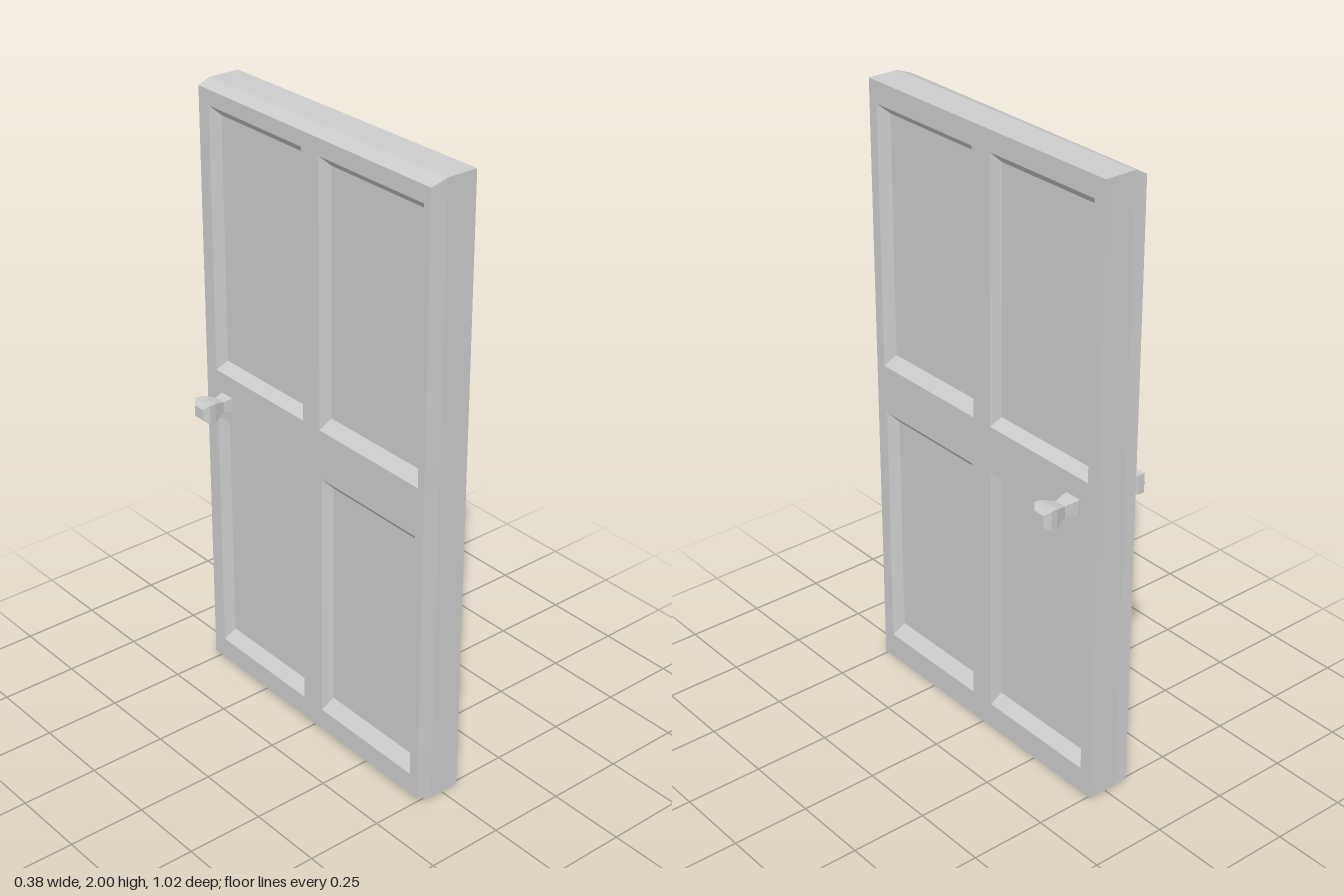
import * as THREE from 'three';

const material = new THREE.MeshStandardMaterial({ color: 0xcccccc, flatShading: true });

// Panels as [outer, inner] rectangles: z0, z1, y0, y1
const panels = [
  [[0.04, 0.476, 1.08, 1.93], [0.053, 0.458, 1.113, 1.897]],
  [[-0.466, -0.037, 1.08, 1.934], [-0.452, -0.048, 1.105, 1.9]],
  [[0.048, 0.468, 0.087, 0.92], [0.063, 0.452, 0.125, 0.882]],
  [[-0.463, -0.04, 0.087, 0.922], [-0.45, -0.048, 0.12, 0.893]],
];
const depth = 0.035;

// Rectangle loop in the zy plane; xAt gives x for each z
function ring([z0, z1, y0, y1], xAt) {
  return [[z0, y0], [z1, y0], [z1, y1], [z0, y1]].map(([z, y]) => new THREE.Vector3(xAt(z), y, z));
}

function buildSlab() {
  const positions = [];
  const tri = (a, b, c, flip) => {
    for (const p of flip ? [a, c, b] : [a, b, c]) positions.push(p.x, p.y, p.z);
  };
  const quad = (a, b, c, d, flip) => { tri(a, b, c, flip); tri(a, c, d, flip); };
  const loft = (a, b, flip) => a.forEach((p, i) => {
    const j = (i + 1) % a.length;
    quad(p, a[j], b[j], b[i], flip);
  });
  const flat = (loop) => loop.map((p) => new THREE.Vector2(p.z, p.y));

  // One broad side: frame with four openings, sloped mouldings, sunken panels
  const panelledFace = (rect, xAt, inward, flip) => {
    const outline = ring(rect, xAt);
    const holes = panels.map(([outer]) => ring(outer, xAt));
    const points = [outline, ...holes].flat();
    for (const [a, b, c] of THREE.ShapeUtils.triangulateShape(flat(outline), holes.map(flat))) {
      tri(points[a], points[b], points[c], flip);
    }
    panels.forEach(([, inner], i) => {
      const floor = ring(inner, (z) => xAt(z) + inward * depth);
      loft(holes[i], floor, flip);
      quad(...floor, flip);
    });
    return outline;
  };

  // The -x side leans slightly and has a bevelled rim
  const plus = panelledFace([-0.508, 0.511, 0, 2], () => 0.06, -1, true);
  const minus = panelledFace([-0.514, 0.503, 0.015, 1.982], (z) => -0.0862 - 0.0125 * z, 1, false);
  const middle = ring([-0.509, 0.511, 0, 2], () => -0.044);
  loft(plus, middle);
  loft(middle, minus);

  const geometry = new THREE.BufferGeometry();
  geometry.setAttribute('position', new THREE.Float32BufferAttribute(positions, 3));
  geometry.computeVertexNormals();
  return geometry;
}

// Four-sided knob turned from a profile of [half width, distance along x]
function buildKnob(side) {
  const profile = [[0.026, 0.05], [0.029, 0.066], [0.02, 0.11], [0.035, 0.152], [0.036, 0.174], [0.02, 0.19], [0, 0.19]];
  const geometry = new THREE.LatheGeometry(
    profile.map(([w, d]) => new THREE.Vector2(w * Math.SQRT2, d)), 4, Math.PI / 4);
  geometry.rotateZ(-side * Math.PI / 2);
  geometry.scale(1, 0.9, 1);
  const flatGeometry = geometry.toNonIndexed();
  flatGeometry.computeVertexNormals();
  return flatGeometry;
}

export function createModel() {
  const door = new THREE.Group();
  door.name = 'door';

  const slab = new THREE.Mesh(buildSlab(), material);
  slab.name = 'doorSlab';
  door.add(slab);

  // A knob on each side
  for (const side of [1, -1]) {
    const knob = new THREE.Mesh(buildKnob(side), material);
    knob.name = side > 0 ? 'leftKnob' : 'rightKnob';
    knob.position.set(0, 0.988, side > 0 ? -0.408 : -0.414);
    door.add(knob);
  }
  return door;
}
